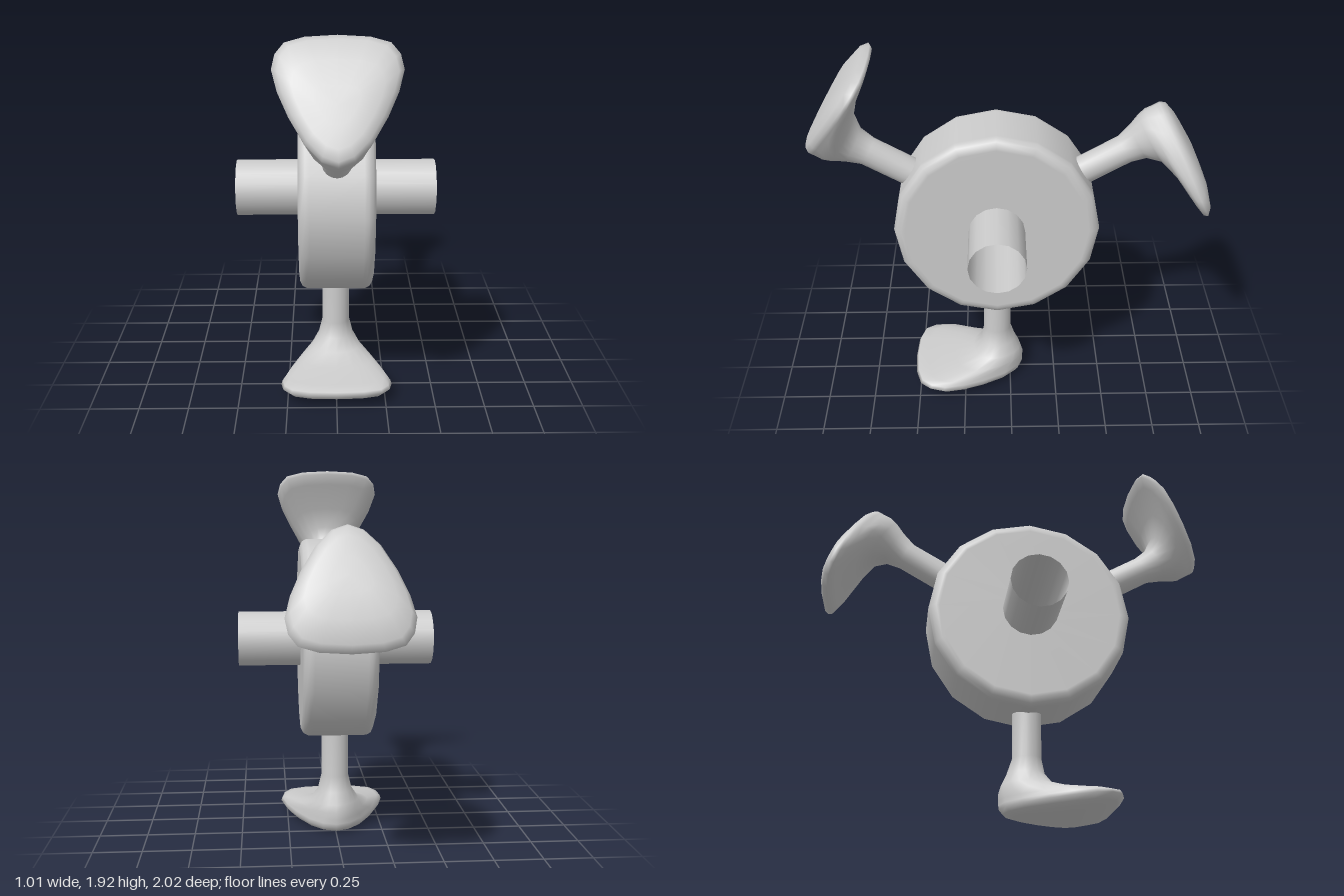
import * as THREE from 'three';

const HUB_Y = 1.04, HUB_Z = 0.07;

// Half outline of the sole from toe to heel: [x, z], x in 0..1, z in 0 (heel) .. 1 (toe)
const SOLE = [[0, 1], [0.5, 0.985], [0.81, 0.94], [0.95, 0.85], [1, 0.73],
  [0.91, 0.56], [0.74, 0.37], [0.5, 0.17], [0.25, 0.045], [0, 0]];

// Rings from the leg's top to the sole:
// [roundness to sole shape, half width, heel z, toe z, heel y, toe y]
const RINGS = [
  [0, 0.072, -0.003, 0.145, 0.60, 0.60],
  [0, 0.072, -0.003, 0.145, 0.30, 0.30],
  [0.1, 0.092, -0.03, 0.16, 0.22, 0.22],
  [0.35, 0.13, -0.058, 0.205, 0.16, 0.16],
  [0.7, 0.19, -0.07, 0.31, 0.12, 0.125],
  [1, 0.255, -0.07, 0.46, 0.085, 0.108],
  [1, 0.278, -0.07, 0.52, 0.06, 0.098],
  [1, 0.285, -0.068, 0.53, 0.04, 0.08],
  [1, 0.26, -0.05, 0.5, 0.018, 0.05],
  [1, 0.2, 0, 0.4, 0.006, 0.018],
  [1, 0.1, 0.1, 0.28, 0.003, 0.005],
];

// Leg and foot lofted as one smooth skin, relative to the hub centre
function footGeometry() {
  const half = SOLE.length - 1, n = half * 2;
  const pos = [], index = [];
  for (const [blend, w, z0, z1, y0, y1] of RINGS) {
    for (let j = 0; j < n; j++) {
      const side = j <= half ? 1 : -1;
      const [sx, sz] = SOLE[j <= half ? j : n - j];
      const a = (j / n) * Math.PI * 2;
      const x = THREE.MathUtils.lerp(Math.sin(a), sx * side, blend);
      const u = THREE.MathUtils.lerp((Math.cos(a) + 1) / 2, sz, blend);
      const y = THREE.MathUtils.lerp(y0, y1, Math.pow(u, 1.5));
      pos.push(x * w, y - HUB_Y, THREE.MathUtils.lerp(z0, z1, u) - HUB_Z);
    }
  }
  const centre = pos.length / 3;
  pos.push(0, 0.003 - HUB_Y, 0.19 - HUB_Z);
  const last = RINGS.length - 1;
  for (let i = 0; i <= last; i++) {
    for (let j = 0; j < n; j++) {
      const a = i * n + j, b = i * n + (j + 1) % n;
      if (i === last) index.push(a, centre, b);
      else index.push(a, a + n, b, b, a + n, b + n);
    }
  }
  const g = new THREE.BufferGeometry();
  g.setAttribute('position', new THREE.Float32BufferAttribute(pos, 3));
  g.setIndex(index);
  g.computeVertexNormals();
  return g;
}

export function createModel() {
  const model = new THREE.Group();
  model.name = 'footWheel';
  const wheel = new THREE.Group();
  wheel.name = 'wheel';
  wheel.position.set(0, HUB_Y, HUB_Z);
  model.add(wheel);

  const grey = new THREE.MeshStandardMaterial({ color: 0xcccccc });
  const open = new THREE.MeshStandardMaterial({ color: 0xcccccc, side: THREE.DoubleSide });
  const add = (name, geometry, material) => {
    const mesh = new THREE.Mesh(geometry, material);
    mesh.name = name;
    wheel.add(mesh);
    return mesh;
  };

  // Hub: sixteen-sided disc with softened rims and a bore
  const edge = [[0.143, 0.185], [0.465, 0.185], [0.482, 0.184], [0.507, 0.172], [0.519, 0.15], [0.52, 0.13]];
  const profile = [
    ...edge.map(([r, h]) => new THREE.Vector2(r, -h)),
    ...edge.slice().reverse().map(([r, h]) => new THREE.Vector2(r, h)),
  ];
  add('hub', new THREE.LatheGeometry(profile, 16), open).rotation.z = -Math.PI / 2;

  // Axle: open tube through the hub
  add('axle', new THREE.CylinderGeometry(0.143, 0.143, 1.01, 16, 1, true), open).rotation.z = -Math.PI / 2;

  // Three legs with feet spaced evenly round the hub
  const foot = footGeometry();
  ['lowerFoot', 'frontFoot', 'backFoot'].forEach((name, i) => {
    add(name, foot, grey).rotation.x = (-i * Math.PI * 2) / 3;
  });

  return model;
}
